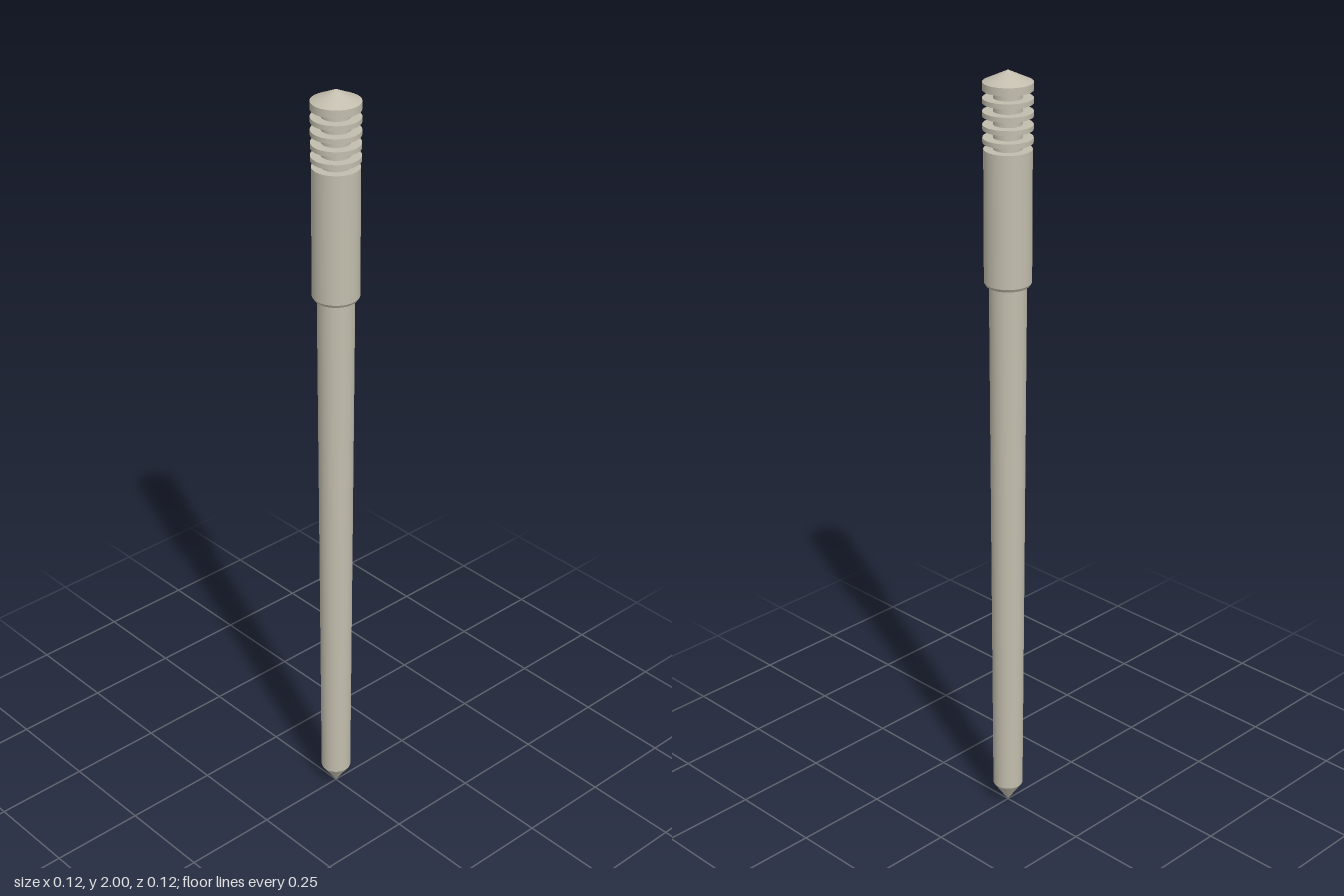
import * as THREE from 'three';

export function createModel() {
  const model = new THREE.Group();
  model.name = 'stake';
  const metal = new THREE.MeshStandardMaterial({ color: 0xc2bdad });
  metal.name = 'warm grey metal';

  // Round section from y0 to y1, with its bottom and top radius
  function section(name, y0, y1, r0, r1 = r0) {
    const geometry = new THREE.CylinderGeometry(r1, r0, y1 - y0, 48);
    const mesh = new THREE.Mesh(geometry, metal);
    mesh.name = name;
    mesh.position.y = (y0 + y1) / 2;
    model.add(mesh);
  }

  // Pointed tip and tapered shaft
  section('tip', 0, 0.058, 0, 0.039);
  section('shaft', 0.058, 1.48, 0.039, 0.046);

  // Sleeve with a chamfered lower edge
  section('sleeveChamfer', 1.474, 1.482, 0.053, 0.058);
  section('sleeve', 1.482, 1.812, 0.058);

  // Narrow neck carrying four thin fins
  section('neck', 1.812, 1.955, 0.035);
  for (let i = 0; i < 4; i++) {
    const y = 1.834 + i * 0.0315;
    section('fin' + (i + 1), y - 0.006, y + 0.006, 0.06);
  }

  // Cap with a low conical top
  section('capRim', 1.953, 1.972, 0.06);
  section('capCone', 1.972, 2, 0.06, 0);

  return model;
}
